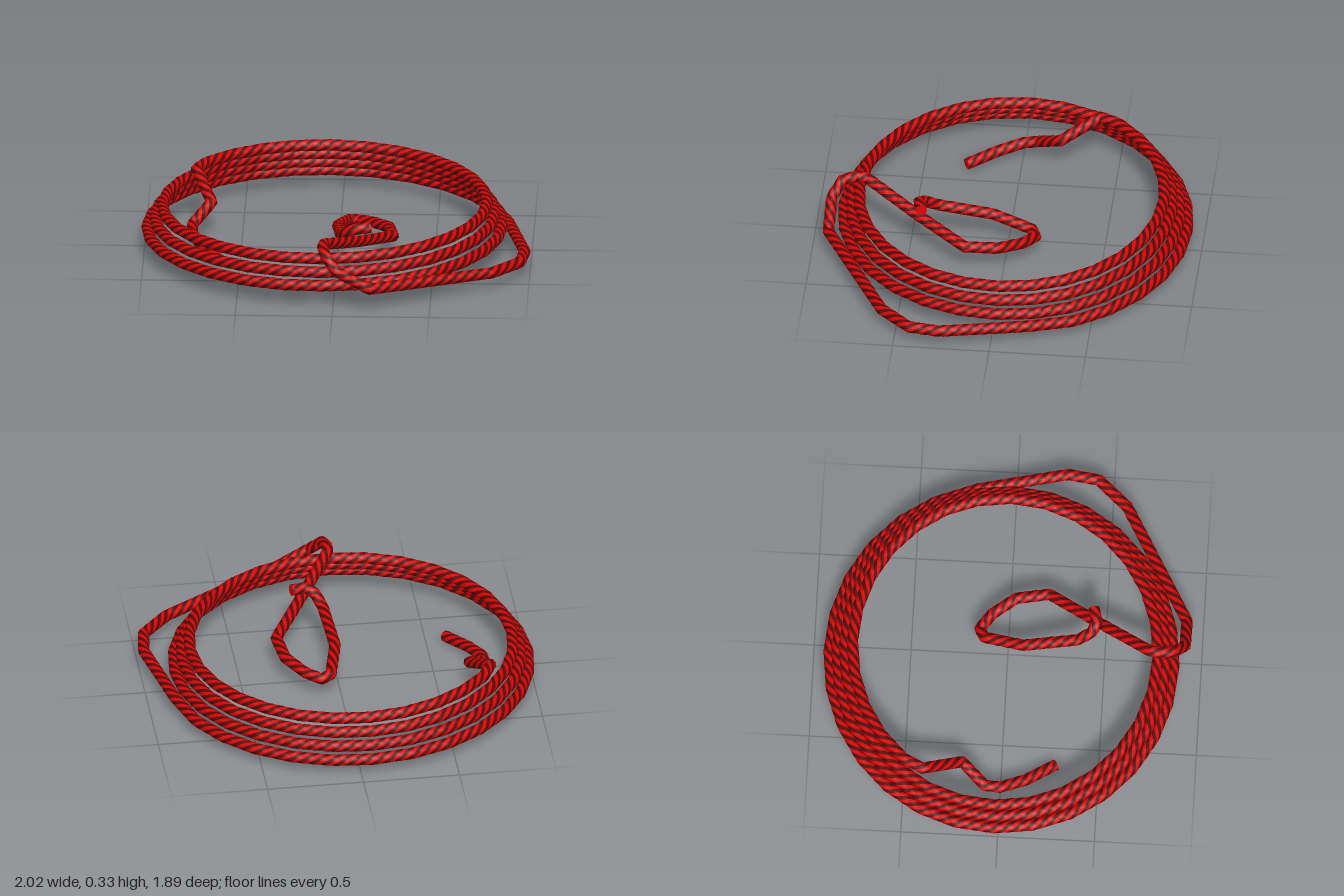
import * as THREE from 'three';

const RADIUS = 0.03;   // rope thickness
const SIDES = 8;       // four red and four dark strands
const STEP = 0.02;     // ring spacing along the rope
const PITCH = 0.25;    // length of one full twist

// Centreline: lasso end, loose outer strand, stacked coil, tail
function ropePath() {
  const pts = [
    // small loop lying inside the coil
    [0.18, 0.28, 0.435], [0.1, 0.275, 0.455], [0.055, 0.25, 0.43], [0.025, 0.21, 0.36],
    [0, 0.155, 0.08], [0.05, 0.11, -0.125], [0.1, 0.1, -0.15], [0.18, 0.11, -0.09],
    [0.265, 0.13, 0.03], [0.29, 0.145, 0.2],
    // over the coil, down its outside and round to the bottom turn
    [0.12, 0.215, 0.47], [-0.05, 0.3, 0.74], [-0.055, 0.305, 0.79], [-0.04, 0.285, 0.865],
    [0.02, 0.215, 0.915], [0.19, 0.12, 0.915], [0.81, 0.09, 0.575], [0.95, 0.09, 0.42],
    [0.972, 0.09, 0.26], [0.87, 0.083, -0.2],
  ];
  // climbing, slightly narrowing coil of just over three turns
  const perTurn = 28;
  for (let i = -5; i <= 88; i++) {
    const turn = i / perTurn;
    const a = Math.PI / 2 + turn * Math.PI * 2;
    pts.push([
      -0.06 + (0.938 - 0.04 * turn) * Math.cos(a),
      0.085 + 0.06 * turn,
      -0.02 - (0.9 - 0.04 * turn) * Math.sin(a),
    ]);
  }
  // tail dropping to the ground inside the coil
  pts.push([-0.745, 0.275, -0.4], [-0.66, 0.17, -0.2], [-0.755, 0.09, -0.08],
    [-0.755, 0.075, 0], [-0.7, 0.052, 0.13], [-0.6, 0.03, 0.28]);
  return pts.map((p) => new THREE.Vector3(...p));
}

// Subdivide straight pieces, keeping the bends crisp
function ropeRings(pts) {
  const rings = [];
  const dir = (i) => pts[i + 1].clone().sub(pts[i]).normalize();
  const last = pts.length - 2;
  for (let i = 0; i <= last; i++) {
    const d = dir(i);
    const n = Math.max(1, Math.round(pts[i].distanceTo(pts[i + 1]) / STEP));
    for (let k = 0; k < n; k++) {
      const t = k === 0 && i > 0 ? d.clone().add(dir(i - 1)).normalize() : d;
      rings.push({ p: pts[i].clone().lerp(pts[i + 1], k / n), t });
    }
  }
  rings.push({ p: pts[last + 1], t: dir(last) });
  return rings;
}

// Twisted tube: each side column becomes one helical strand
function ropeGeometry(rings) {
  const pos = [];
  const columns = [[], []];
  const normal = new THREE.Vector3(0, 1, 0);
  let length = 0;
  rings.forEach(({ p, t }, i) => {
    if (i > 0) length += p.distanceTo(rings[i - 1].p);
    normal.addScaledVector(t, -normal.dot(t)).normalize();
    const side = t.clone().cross(normal);
    for (let j = 0; j < SIDES; j++) {
      const a = (j / SIDES - length / PITCH) * Math.PI * 2;
      const v = p.clone()
        .addScaledVector(normal, RADIUS * Math.cos(a))
        .addScaledVector(side, RADIUS * Math.sin(a));
      pos.push(v.x, v.y, v.z);
      if (i === 0) continue;
      const j1 = (j + 1) % SIDES;
      const a0 = (i - 1) * SIDES + j, b0 = (i - 1) * SIDES + j1;
      const a1 = i * SIDES + j, b1 = i * SIDES + j1;
      columns[j % 2].push(a0, b0, b1, a0, b1, a1);
    }
  });
  const geo = new THREE.BufferGeometry();
  geo.setAttribute('position', new THREE.Float32BufferAttribute(pos, 3));
  geo.setIndex([...columns[0], ...columns[1]]);
  geo.addGroup(0, columns[0].length, 0);
  geo.addGroup(columns[0].length, columns[1].length, 1);
  geo.computeVertexNormals();
  return geo;
}

export function createModel() {
  const model = new THREE.Group();
  model.name = 'coiledRope';
  const red = new THREE.MeshStandardMaterial({ name: 'rope red', color: 0xdc0404 });
  const dark = new THREE.MeshStandardMaterial({ name: 'dark strand', color: 0x580808 });

  const rings = ropeRings(ropePath());
  const rope = new THREE.Mesh(ropeGeometry(rings), [red, dark]);
  rope.name = 'rope';
  model.add(rope);

  // Flat caps on both cut ends
  const ends = [
    ['lassoEnd', rings[0].p, rings[0].t.clone().negate()],
    ['tailEnd', rings[rings.length - 1].p, rings[rings.length - 1].t],
  ];
  for (const [name, p, facing] of ends) {
    const cap = new THREE.Mesh(new THREE.CircleGeometry(RADIUS, 16), red);
    cap.name = name;
    cap.position.copy(p);
    cap.quaternion.setFromUnitVectors(new THREE.Vector3(0, 0, 1), facing);
    model.add(cap);
  }
  return model;
}
